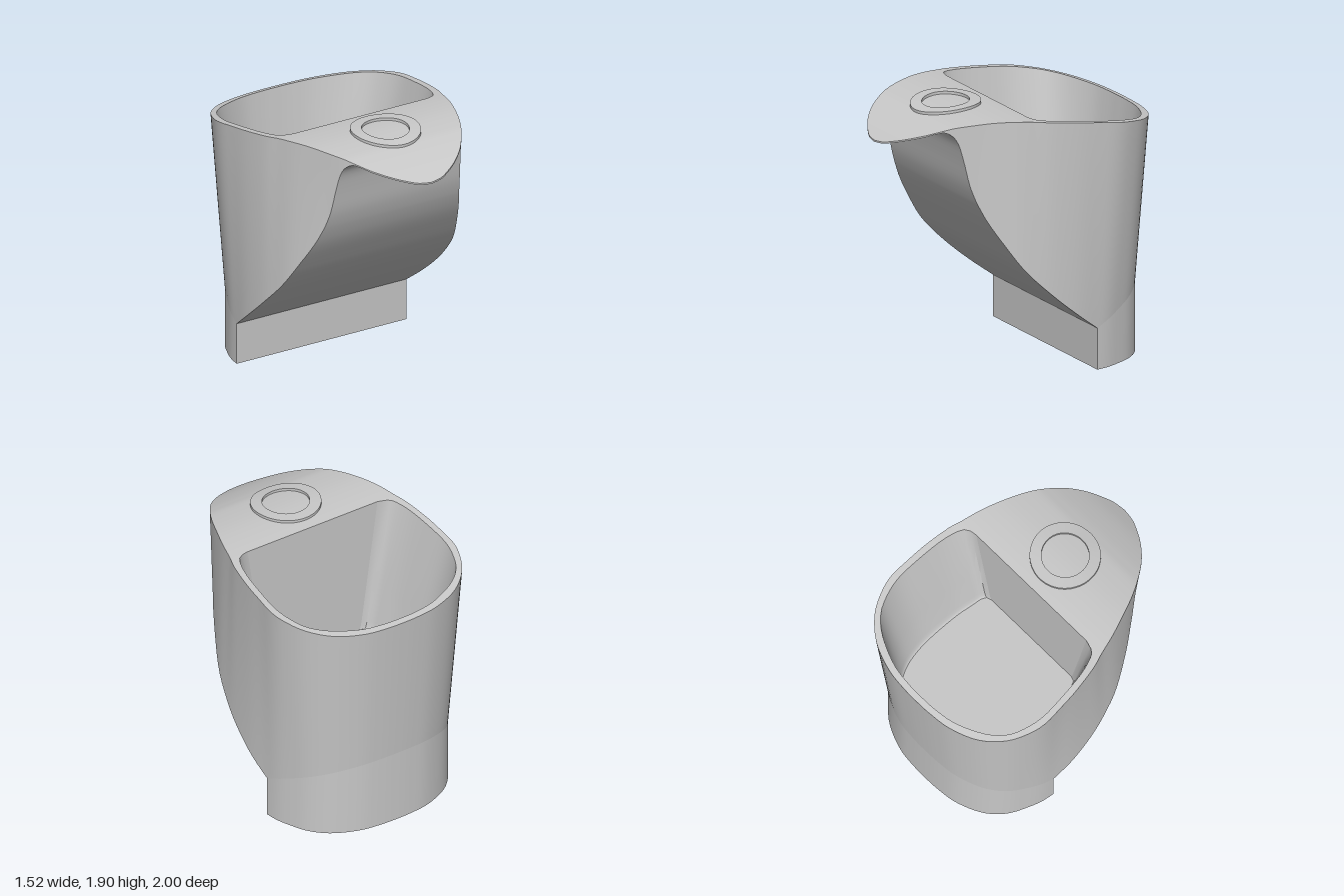
import * as THREE from 'three';
import { toCreasedNormals } from 'three/addons/utils/BufferGeometryUtils.js';

const v2 = (list) => list.map(([a, b]) => new THREE.Vector2(a, b));
const spline = (list) => new THREE.SplineCurve(v2(list));
const lerp = THREE.MathUtils.lerp;

// Smooth function through [input, value] points with rising input
function lookup(list) {
  const p = spline(list).getPoints(300);
  return (q) => {
    let i = 1;
    while (i < p.length - 1 && p[i].x < q) i++;
    const a = p[i - 1], b = p[i];
    const t = THREE.MathUtils.clamp((q - a.x) / (b.x - a.x || 1), 0, 1);
    return lerp(a.y, b.y, t);
  };
}

// Surface through rows of [x, y, z] points
function grid(rows) {
  const w = rows[0].length, index = [];
  for (let i = 0; i < rows.length - 1; i++) {
    for (let j = 0; j < w - 1; j++) {
      const a = i * w + j, d = a + w;
      index.push(a, a + 1, d + 1, a, d + 1, d);
    }
  }
  const g = new THREE.BufferGeometry();
  g.setAttribute('position', new THREE.Float32BufferAttribute(rows.flat(2), 3));
  g.setIndex(index);
  return toCreasedNormals(g, 0.6);
}

// Half row mirrored across x = 0, running from the -x end round the back to the +x end
const mirror = (half) => [...half.slice(1).reverse().map(([x, y, z]) => [-x, y, z]), ...half];
// Rows spanning straight across from -x to +x
const across = (half) => half.map(([x, y, z]) => [[-x, y, z], [x, y, z]]);

// Side profiles as height over z: lid on top, swept underside in front
const lidY = lookup([[-1, 1.68], [-0.8, 1.725], [-0.6, 1.763], [-0.4, 1.795], [-0.2, 1.822], [0, 1.847],
  [0.2, 1.87], [0.4, 1.875], [0.6, 1.855], [0.7, 1.83], [0.8, 1.793], [0.9, 1.748], [1, 1.692]]);
const frontY = lookup([[-0.37, 0.3], [-0.2, 0.43], [0, 0.6], [0.2, 0.8], [0.34, 1], [0.46, 1.2], [0.54, 1.4],
  [0.585, 1.6], [0.615, 1.72], [0.65, 1.785], [0.7, 1.814], [0.75, 1.803], [0.8, 1.782], [0.9, 1.737], [1, 1.68]]);

// Half plan outlines, back part as [x, z]
const topBack = spline([[0, -1], [0.12, -0.997], [0.3, -0.975], [0.5, -0.9], [0.65, -0.77], [0.73, -0.62],
  [0.758, -0.5], [0.755, -0.37]]);
const baseBack = spline([[0, -0.92], [0.12, -0.916], [0.28, -0.893], [0.46, -0.815], [0.58, -0.7],
  [0.65, -0.56], [0.685, -0.46], [0.7, -0.37]]);
// Front part as half width over z
const nose = [[0.54, 0.535], [0.67, 0.465], [0.8, 0.37], [0.9, 0.255], [0.97, 0.13], [0.99, 0.07], [1, 0]];
const topFront = lookup([[-0.37, 0.755], [-0.2, 0.745], [0, 0.715], [0.1, 0.685], [0.25, 0.645], [0.4, 0.592], ...nose]);
const baseFront = lookup([[-0.37, 0.7], [-0.2, 0.725], [0, 0.73], [0.15, 0.718], [0.25, 0.7], [0.34, 0.665], [0.45, 0.605], ...nose]);

// Opening and floor of the cavity, half outlines as [x, z]
const opening = spline([[0, -0.955], [0.12, -0.952], [0.3, -0.925], [0.5, -0.84], [0.62, -0.74], [0.68, -0.62],
  [0.71, -0.48], [0.705, -0.3], [0.685, -0.1], [0.65, 0.03], [0.61, 0.085], [0.54, 0.1]]);
const floor = spline([[0, -0.87], [0.12, -0.867], [0.25, -0.845], [0.38, -0.77], [0.45, -0.65], [0.48, -0.5],
  [0.485, -0.35], [0.475, -0.15], [0.455, -0.02], [0.445, 0.05], [0.43, 0.085], [0.39, 0.1]]);

export function createModel() {
  const model = new THREE.Group();
  const grey = new THREE.MeshStandardMaterial({ color: 0xc8c8c8, side: THREE.DoubleSide });
  grey.name = 'lightGrey';
  const add = (name, rows) => {
    const mesh = new THREE.Mesh(grid(rows), grey);
    mesh.name = name;
    model.add(mesh);
  };

  // Wall columns from the back centre to the front tip
  const columns = [];
  const backCount = 24, rimCount = 34;
  const tb = topBack.getSpacedPoints(backCount), bb = baseBack.getSpacedPoints(backCount);
  for (let k = 0; k <= backCount; k++) {
    const y = 0.3 + 0.45 * (-0.37 - bb[k].y);
    columns.push({ low: [bb[k].x, y, bb[k].y], top: [tb[k].x, lidY(tb[k].y), tb[k].y] });
  }
  const zs = [];
  for (const [from, to, n] of [[-0.37, 0.1, 10], [0.1, 0.5, 10], [0.5, 0.76, 26]]) {
    for (let i = 1; i <= n; i++) zs.push(lerp(from, to, i / n));
  }
  for (let i = 1; i <= 18; i++) zs.push(0.76 + 0.24 * Math.sin((i / 18) * Math.PI / 2));
  for (const z of zs) {
    const yTop = lidY(z), yLow = frontY(z);
    const t = (yLow - 0.3) / (yTop - 0.3);
    columns.push({ low: [lerp(baseFront(z), topFront(z), t), yLow, z], top: [topFront(z), yTop, z] });
  }
  const lows = columns.map((c) => c.low), tops = columns.map((c) => c.top);

  // Flared outer wall
  const wallRows = [];
  for (let i = 0; i <= 10; i++) {
    wallRows.push(mirror(columns.map((c) => c.top.map((v, a) => lerp(v, c.low[a], i / 10)))));
  }
  add('outerWall', wallRows);

  // Swept front under the lip
  add('frontSweep', across(lows.slice(backCount)));

  // Base with flat front
  const baseTop = lows.slice(0, backCount + 1);
  const baseBottom = baseTop.map(([x, , z]) => [x, 0, z]);
  add('baseWall', [mirror(baseTop), mirror(baseBottom)]);
  add('baseFront', across([baseBottom[backCount], baseTop[backCount]]));
  add('baseBottom', across(baseBottom));

  // Curved lid in front of the opening, and the rim around it
  add('lid', across(tops.slice(rimCount)).reverse());
  const openPts = opening.getSpacedPoints(rimCount), floorPts = floor.getSpacedPoints(rimCount);
  const openEdge = openPts.map((p) => [p.x, lidY(p.y), p.y]);
  add('rim', [mirror(openEdge), mirror(tops.slice(0, rimCount + 1))]);

  // Cavity narrowing down to a rounded floor edge: [inward, height] fractions
  const floorY = 0.85;
  const steps = [[1, 0], [0.97, 0.006], [0.93, 0.025], [0.88, 0.065], [0.6, 0.36], [0.3, 0.68], [0, 1]];
  const cavityRows = steps.map(([f, h]) => openEdge.map(([x, y, z], k) => [
    lerp(x, floorPts[k].x, f), lerp(floorY, y, h), lerp(z, floorPts[k].y, f)]));
  add('cavityWall', cavityRows.map(mirror));
  add('cavityFront', across(cavityRows.map((r) => r[rimCount])).reverse());
  add('cavityFloor', across(cavityRows[0]).reverse());

  // Raised ring following the lid
  const ringRows = [[0.165, -0.004], [0.165, 0.02], [0.245, 0.02], [0.245, -0.004]].map(([r, lift]) => {
    const row = [];
    for (let i = 0; i <= 64; i++) {
      const a = (i / 64) * Math.PI * 2, z = 0.427 + r * Math.sin(a);
      row.push([r * Math.cos(a), lidY(z) + lift, z]);
    }
    return row;
  });
  add('lidRing', ringRows);

  return model;
}
